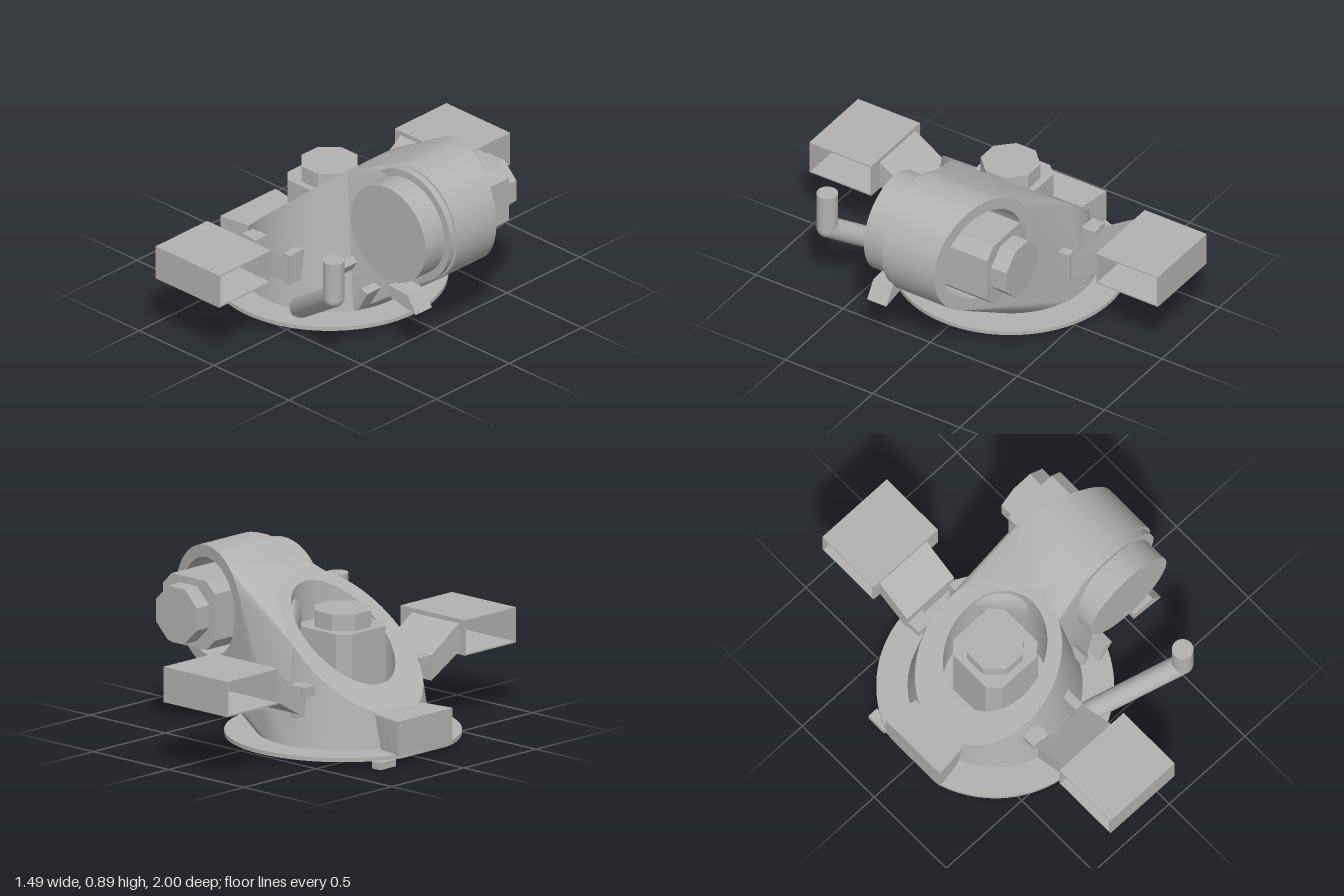
import * as THREE from 'three';
import { toCreasedNormals } from 'three/addons/utils/BufferGeometryUtils.js';
import { ConvexGeometry } from 'three/addons/geometries/ConvexGeometry.js';

const metal = new THREE.MeshStandardMaterial({ color: 0xb2b2b2 });
const openMetal = metal;
openMetal.side = THREE.DoubleSide;
const V = (x, y, z) => new THREE.Vector3(x, y, z);
const CX = -0.2;                        // axis of the vertical cone
const HX = 0.44, HY = 0.595, HR = 0.3;  // axis and radius of the horizontal housing
const SEG = 64;

// Sloped top of the cone, cone wall, and slanted rear face of the housing
const slopeY = x => 0.7 + 0.84 * x;
const coneR = y => 0.428 - 0.15 * y;
const rearZ = x => -0.18 - 0.28 * (0.74 - x);
const coneBase = a => V(CX + coneR(0.055) * Math.cos(a), 0.055, coneR(0.055) * Math.sin(a));
function coneRim(a) {
  const c = Math.cos(a), y = (0.532 + 0.36 * c) / (1 + 0.126 * c);
  return V(CX + coneR(y) * c, y, coneR(y) * Math.sin(a));
}

// Skin closed rings of points, each given as a function of angle
function skin(rings) {
  const pos = [];
  for (let k = 0; k < rings.length - 1; k++) {
    for (let i = 0; i < SEG; i++) {
      const a = i / SEG * Math.PI * 2, b = (i + 1) / SEG * Math.PI * 2;
      const [p, q, r, s] = [rings[k](a), rings[k + 1](a), rings[k](b), rings[k + 1](b)];
      for (const v of [p, q, r, r, q, s]) pos.push(v.x, v.y, v.z);
    }
  }
  const g = new THREE.BufferGeometry();
  g.setAttribute('position', new THREE.Float32BufferAttribute(pos, 3));
  return toCreasedNormals(g, 0.5);
}

// Web between a stretch of the cone wall and the housing, left open at the rear face
function webGeometry(from, to) {
  const pts = [];
  for (let i = 0; i <= 10; i++) {
    const a = THREE.MathUtils.degToRad(from + (to - from) * i / 10);
    pts.push(coneBase(a), coneRim(a));
  }
  for (let i = 0; i < SEG; i++) {
    const a = i / SEG * Math.PI * 2;
    const x = HX + HR * Math.cos(a), y = HY + HR * Math.sin(a);
    pts.push(V(x, y, 0.09), V(x, y, rearZ(x)));
  }
  const p = new ConvexGeometry(pts).getAttribute('position'), keep = [];
  for (let i = 0; i < p.count; i += 3) {
    const ids = [i, i + 1, i + 2];
    if (ids.every(j => Math.abs(p.getZ(j) - rearZ(p.getX(j))) < 1e-4)) continue;
    for (const j of ids) keep.push(p.getX(j), p.getY(j), p.getZ(j));
  }
  const g = new THREE.BufferGeometry();
  g.setAttribute('position', new THREE.Float32BufferAttribute(keep, 3));
  return toCreasedNormals(g, 0.45);
}

// Prism along z from a polygon of [x, y] corners
function prism(corners, depth, hole) {
  const shape = new THREE.Shape(corners.map(c => new THREE.Vector2(...c)));
  if (hole) shape.holes.push(new THREE.Path(hole.map(c => new THREE.Vector2(...c))));
  return new THREE.ExtrudeGeometry(shape, { depth, bevelEnabled: false });
}

// Upright square prism with chamfered corners
function chamferedBlock(h, c, height) {
  const k = h - c;
  return prism([[h, -k], [h, k], [k, h], [-k, h], [-h, k], [-h, -k], [-k, -h], [k, -h]], height)
    .rotateX(-Math.PI / 2);
}

export function createModel() {
  const root = new THREE.Group();
  const add = (name, geo, parent = root, x = 0, y = 0, z = 0) => {
    const m = new THREE.Mesh(geo, metal);
    m.name = name;
    m.position.set(x, y, z);
    parent.add(m);
    return m;
  };

  // Base plate, trimmed flat on one side
  const base = new THREE.CylinderGeometry(0.57, 0.57, 0.02, 96);
  const bp = base.getAttribute('position');
  for (let i = 0; i < bp.count; i++) bp.setX(i, Math.max(bp.getX(i), -0.545));
  add('basePlate', base, root, CX, 0.045, 0);
  add('basePeg', new THREE.BoxGeometry(0.055, 0.035, 0.11), root, -0.715, 0.02, -0.255);

  // Hollow cone with sloped rim
  add('coneBody', skin([
    coneBase, coneRim,
    a => V(CX + 0.25 * Math.cos(a), slopeY(CX + 0.25 * Math.cos(a)), 0.25 * Math.sin(a)),
    a => V(CX + 0.25 * Math.cos(a), 0.1, 0.25 * Math.sin(a)),
    () => V(CX, 0.1, 0),
  ]));

  // Webs and housing
  for (const [from, to] of [[-90, -45], [-45, 0], [0, 30]]) add('housingWeb', webGeometry(from, to));
  const ring = (r, z) => a => {
    const x = HX + r * Math.cos(a);
    return V(x, HY + r * Math.sin(a), z === undefined ? rearZ(x) : z);
  };
  add('housingBore', skin([ring(HR), ring(0.24), ring(0.24, 0.02), ring(0, 0.02)]));
  const disc = (name, r, z0, z1) => add(name,
    new THREE.CylinderGeometry(r, r, z1 - z0, SEG).rotateX(Math.PI / 2), root, HX, HY, (z0 + z1) / 2);
  disc('housingStep', 0.288, 0.08, 0.125);
  disc('housingCap', 0.25, 0.12, 0.255);

  // Stepped bolts in the two bores
  const bolt = (name, bottom, shoulder, top) => {
    const g = new THREE.Group();
    g.name = name;
    add('boltBody', chamferedBlock(0.17, 0.055, shoulder - bottom), g, 0, bottom, 0);
    add('boltHead', chamferedBlock(0.135, 0.08, top - shoulder), g, 0, shoulder, 0);
    root.add(g);
    return g;
  };
  bolt('uprightBolt', 0.1, 0.572, 0.655).position.x = CX;
  const rear = bolt('rearBolt', -0.02, 0.4, 0.487);
  rear.position.set(HX, HY, 0);
  rear.rotation.x = -Math.PI / 2;

  // End block beside the cone
  const block = [];
  for (const s of [-1, 1]) {
    for (const y of [0.05, 0.22]) {
      block.push(V(-0.745, y, s * 0.19), V(y > 0.1 ? -0.57 : -0.61, y, s * 0.165));
    }
  }
  add('endBlock', new ConvexGeometry(block));

  // Side brackets: hollow box, sloping arm and two lugs
  for (const s of [1, -1]) {
    const g = new THREE.Group();
    g.name = s > 0 ? 'frontBracket' : 'rearBracket';
    root.add(g);
    const rect = (z0, y0, z1, y1) => [[z0, y0], [z1, y0], [z1, y1], [z0, y1]].map(([z, y]) => [-s * z, y]);
    const alongX = (geo, x) => geo.rotateY(Math.PI / 2).translate(x, 0, 0);
    add('openBox', alongX(prism(rect(0.645, 0.33, 1, 0.505), 0.425, rect(0.653, 0.338, 0.992, 0.497)), -0.39), g);
    const arm = [[0.455, 0.235], [0.648, 0.345], [0.648, 0.485], [0.455, 0.36]].map(([z, y]) => [-s * z, y]);
    add('slopingArm', alongX(prism(arm, 0.31), -0.35), g);
    for (const x of [-0.287, -0.062]) {
      add('lug', new THREE.BoxGeometry(0.045, 0.16, 0.1), g, x, 0.285, s * 0.39);
    }
    add('lugFoot', new THREE.BoxGeometry(0.09, 0.05, 0.07), g, -0.315, 0.34, s * 0.4);
  }

  // Bent handle
  const path = [V(-0.01, 0.08, 0.4), V(0.44, 0.4, 0.63), V(0.44, 0.6, 0.63)];
  for (let i = 0; i < 2; i++) {
    const d = path[i + 1].clone().sub(path[i]);
    const rod = add('handleRod', new THREE.CylinderGeometry(0.052, 0.052, d.length(), 32));
    rod.position.copy(path[i]).addScaledVector(d, 0.5);
    rod.quaternion.setFromUnitVectors(V(0, 1, 0), d.normalize());
  }
  add('handleElbow', new THREE.SphereGeometry(0.052, 32, 16), root, 0.44, 0.4, 0.63);

  // Small tabs on the front of the web
  add('upperTab', prism([[0.46, 0.27], [0.64, 0.235], [0.585, 0.32], [0.46, 0.33]], 0.11), root, 0, 0, 0.16);
  add('lowerTab', prism([[0.225, 0.125], [0.25, 0.11], [0.315, 0.225], [0.275, 0.24]], 0.12), root, 0, 0, 0.15);
  add('sideTab', prism([[0.115, 0.28], [0.14, 0.265], [0.165, 0.31], [0.14, 0.34]], 0.1), root, 0, 0, 0.17);

  return root;
}
